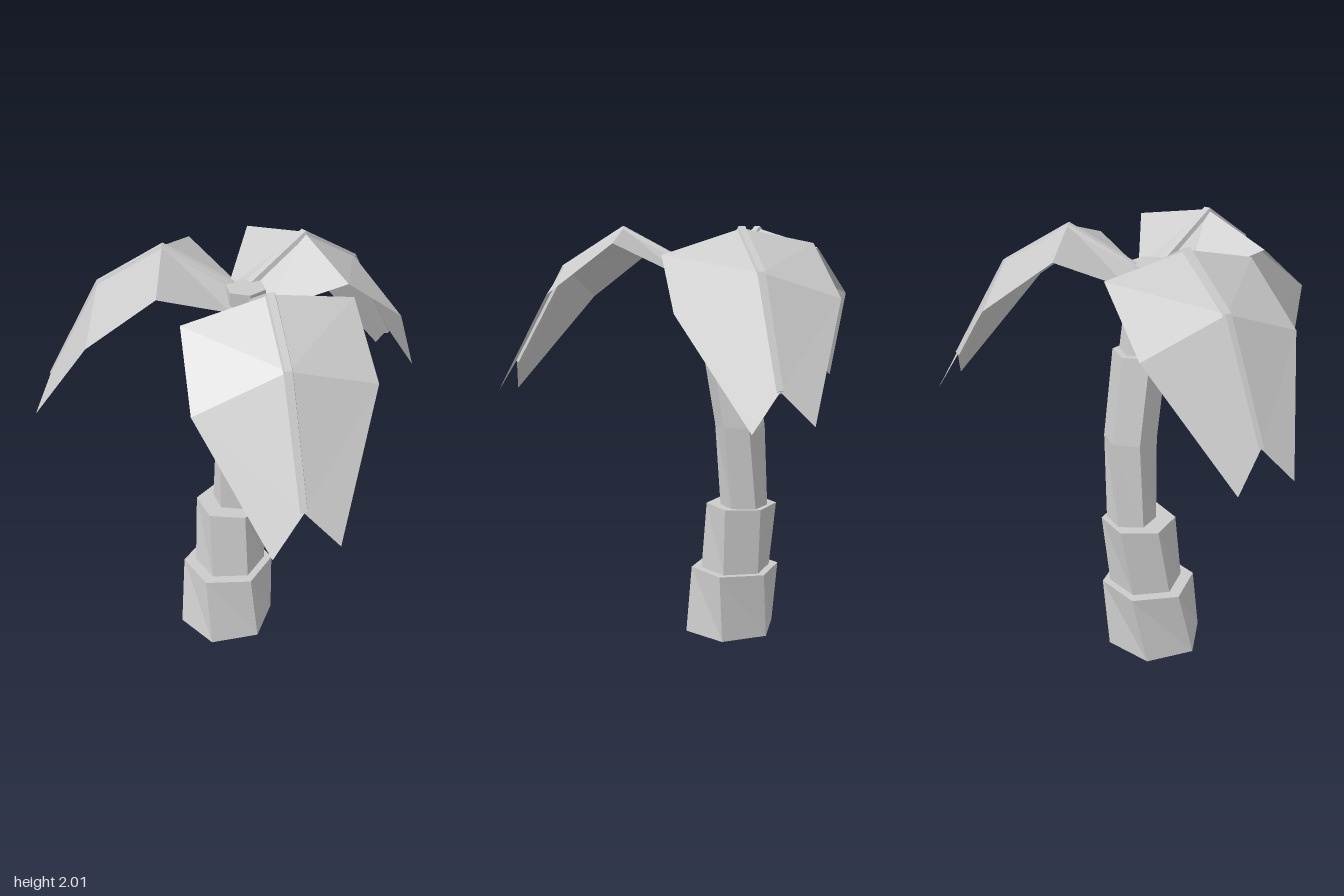
import * as THREE from 'three';

const material = new THREE.MeshStandardMaterial({ color: 0xcccccc, flatShading: true });
const leafMaterial = new THREE.MeshStandardMaterial({ color: 0xcccccc, flatShading: true, side: THREE.DoubleSide });

function meshFrom(triangles, name, mat) {
  const geometry = new THREE.BufferGeometry().setFromPoints(triangles);
  geometry.computeVertexNormals();
  const mesh = new THREE.Mesh(geometry, mat);
  mesh.name = name;
  return mesh;
}

// Skin a list of point rings, closing both ends
function loft(rings, name) {
  const tris = [];
  const n = rings[0].length;
  for (let k = 0; k < rings.length - 1; k++) {
    for (let i = 0; i < n; i++) {
      const j = (i + 1) % n;
      const [a, b, c, d] = [rings[k][i], rings[k][j], rings[k + 1][j], rings[k + 1][i]];
      tris.push(a, d, c, a, c, b);
    }
  }
  const first = rings[0], last = rings[rings.length - 1];
  for (let i = 1; i < n - 1; i++) {
    tris.push(first[0], first[i], first[i + 1], last[0], last[i + 1], last[i]);
  }
  return meshFrom(tris, name, material);
}

// Horizontal hexagon, twisted by an angle in degrees
function hexRing([x, y, z, r, twist]) {
  return Array.from({ length: 6 }, (_, i) => {
    const a = (i * 60 + twist) * Math.PI / 180;
    return new THREE.Vector3(x + r * Math.cos(a), y, z + r * Math.sin(a));
  });
}

// Trunk tiers: rings of x, y, z, radius, twist
const tiers = [
  [[-0.17, 0, 0.205, 0.234, 0], [-0.185, 0.333, 0.172, 0.22, 11]],
  [[-0.183, 0.333, 0.16, 0.172, 11], [-0.2, 0.667, 0.125, 0.172, 19]],
  [[-0.2, 0.667, 0.092, 0.115, 22], [-0.172, 1.07, 0.08, 0.121, 30], [-0.115, 1.467, 0.11, 0.122, 30]],
  [[-0.107, 1.467, 0.112, 0.095, 30], [-0.05, 1.85, 0.14, 0.09, 30]],
];

// Leaf rows: ridge distance, ridge height, edge distance, edge height, half width
const leafRows = [
  [-0.32, 1.83, -0.314, 1.77, 0.139],
  [0, 2.0, -0.045, 1.91, 0.35],
  [0.296, 1.82, 0.263, 1.68, 0.367],
  [0.557, 1.36, 0.607, 1.21, 0.133],
];

function leafBlade(roll) {
  const rows = leafRows.map(([u, y, eu, ey, w]) => [
    new THREE.Vector3(eu, ey - roll * w, -w),
    new THREE.Vector3(u, y, 0),
    new THREE.Vector3(eu, ey + roll * w, w),
  ]);
  const tris = [];
  for (let k = 0; k < rows.length - 1; k++) {
    const [l0, m0, r0] = rows[k];
    const [l1, m1, r1] = rows[k + 1];
    // Diagonals mirrored on both sides of the ridge
    tris.push(l0, m0, m1, l0, m1, l1, r0, m1, m0, r0, r1, m1);
  }
  return meshFrom(tris, 'leafBlade', leafMaterial);
}

// Five-sided rib following the underside of the ridge
function leafRib() {
  const rings = leafRows.map(([u, y], k) => {
    const before = leafRows[Math.max(k - 1, 0)];
    const after = leafRows[Math.min(k + 1, leafRows.length - 1)];
    const up = new THREE.Vector2(before[1] - after[1], after[0] - before[0]).normalize();
    const r = [0.028, 0.026, 0.024, 0.02][k];
    return Array.from({ length: 5 }, (_, i) => {
      const a = Math.PI / 2 + (i + 0.5) * Math.PI * 2 / 5;
      const h = r * Math.sin(a) - 0.012;
      return new THREE.Vector3(u + up.x * h, y + up.y * h, r * Math.cos(a));
    });
  });
  return loft(rings, 'leafRib');
}

export function createModel() {
  const model = new THREE.Group();
  model.name = 'palmTree';

  const trunk = new THREE.Group();
  trunk.name = 'trunk';
  tiers.forEach((tier, i) => trunk.add(loft(tier.map(hexRing), `trunkTier${i + 1}`)));
  model.add(trunk);

  // Fronds: name, crest x, crest z, heading in degrees, sideways roll
  const fronds = [
    ['backFrond', -0.06, -0.215, -84.8, -0.07],
    ['leftFrond', 0.32, 0.345, 30.8, -0.07],
    ['rightFrond', -0.36, 0.334, 140.7, 0],
  ];
  for (const [name, x, z, heading, roll] of fronds) {
    const frond = new THREE.Group();
    frond.name = name;
    frond.add(leafBlade(roll), leafRib());
    frond.position.set(x, 0, z);
    frond.rotation.y = -heading * Math.PI / 180;
    model.add(frond);
  }
  return model;
}
